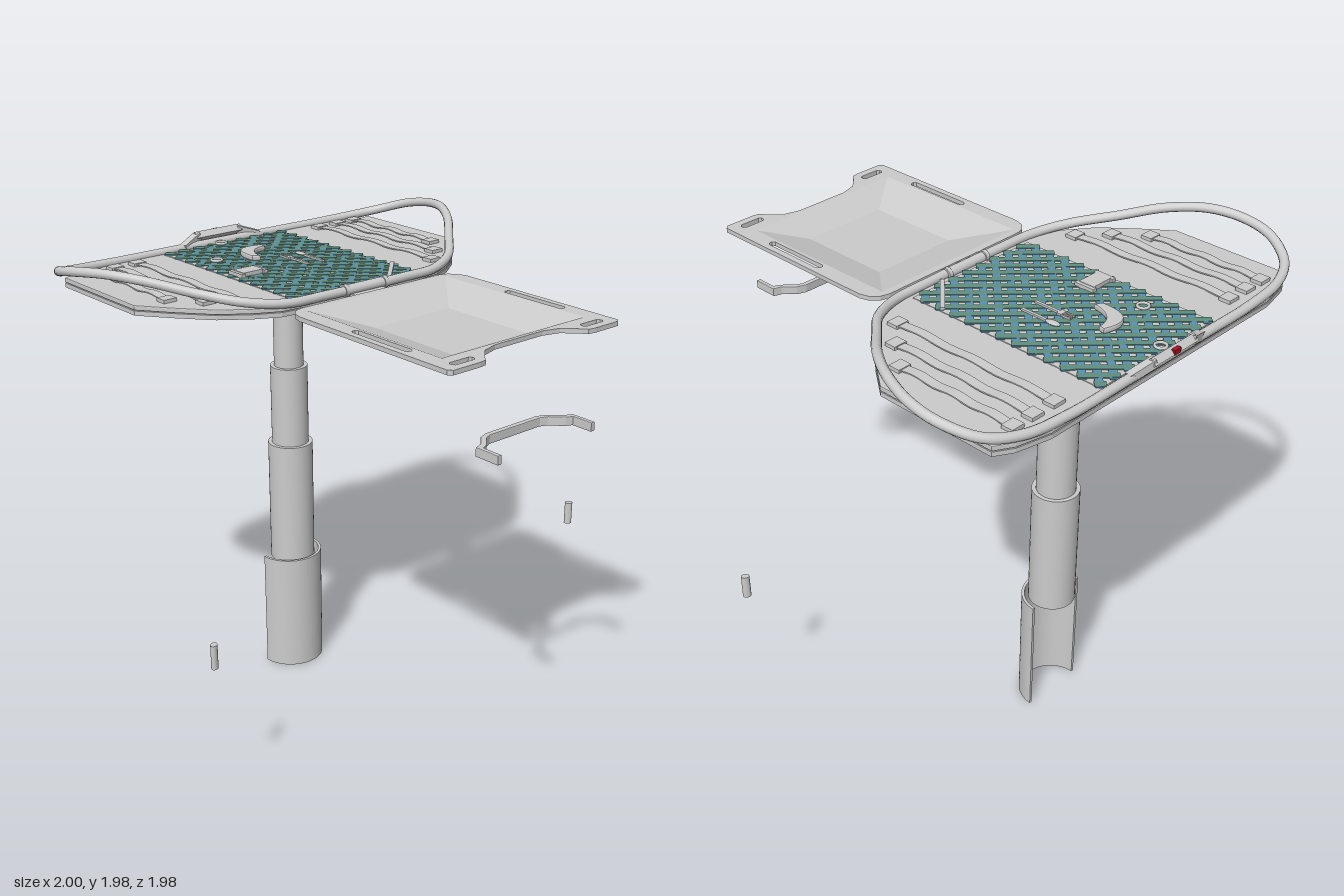
import * as THREE from 'three';

const V = (x, y, z) => new THREE.Vector3(x, y, z);
const paint = (color, extra = {}) => new THREE.MeshStandardMaterial({ color, ...extra });

export function createModel() {
  const root = new THREE.Group();
  const grey = paint(0xcccccc), blue = paint(0x5b8fb5), green = paint(0x5f9080), red = paint(0xaa1122);
  const facet = paint(0xcccccc, { flatShading: true, side: THREE.DoubleSide });

  const add = (name, geo, mat = grey, parent = root) => {
    const m = new THREE.Mesh(geo, mat);
    m.name = name;
    parent.add(m);
    return m;
  };
  const group = (name) => {
    const g = new THREE.Group();
    g.name = name;
    root.add(g);
    return g;
  };
  const box = (name, w, h, d, x, y, z, mat, parent) => {
    const m = add(name, new THREE.BoxGeometry(w, h, d), mat, parent);
    m.position.set(x, y, z);
    return m;
  };
  // Horizontal slab: the shape is drawn in (x, -z) and raised from y
  const slab = (shape, y, h, bevel = 0) => new THREE.ExtrudeGeometry(shape, {
    depth: h - 2 * bevel, bevelEnabled: bevel > 0, bevelSize: bevel, bevelThickness: bevel,
    bevelOffset: -bevel, bevelSegments: 2, curveSegments: 24,
  }).rotateX(-Math.PI / 2).translate(0, y + bevel, 0);
  const poly = (pts) => new THREE.Shape(pts.map(([x, y]) => new THREE.Vector2(x, y)));
  // Outline mirrored across z = 0
  const mirrored = (half) => poly([...half, ...half.map(([x, z]) => [x, -z]).reverse()]);
  const rectHole = (x, z, w, d) => {
    const p = new THREE.Path();
    p.absellipse(x, z, w / 2, d / 2, 0, 0.01);
    p.curves.length = 0;
    const r = Math.min(w, d) * 0.3, a = x - w / 2, b = x + w / 2, c = z - d / 2, e = z + d / 2;
    p.currentPoint.set(a + r, c);
    p.lineTo(b - r, c).lineTo(b, c + r).lineTo(b, e - r).lineTo(b - r, e);
    p.lineTo(a + r, e).lineTo(a, e - r).lineTo(a, c + r).lineTo(a + r, c);
    return p;
  };

  // Telescopic leg
  const leg = group('leg');
  [[0.063, 1.41, 1.82], [0.08, 1.06, 1.41], [0.097, 0.51, 1.06]].forEach(([r, y0, y1], i) => {
    const m = add('legSection' + (i + 1), new THREE.CylinderGeometry(r, r, y1 - y0, 40), grey, leg);
    m.position.set(-0.486, (y0 + y1) / 2, 0);
  });
  // Half-round ground sleeve, open towards -x
  const sleeve = new THREE.Shape();
  sleeve.absarc(-0.51, 0, 0.142, -Math.PI / 2, Math.PI / 2, false);
  sleeve.absarc(-0.51, 0, 0.13, Math.PI / 2, -Math.PI / 2, true);
  add('groundSleeve', slab(sleeve, 0, 0.53), grey, leg);

  // Table board in two layers
  const half = [[0.015, 0.25], [0, 0.4], [-0.05, 0.5], [-0.13, 0.61], [-0.26, 0.72],
    [-0.38, 0.81], [-0.89, 0.81], [-0.93, 0.74], [-0.96, 0.6]].map(([x, z]) => [x, z]);
  add('boardBase', slab(mirrored(half), 1.812, 0.018));
  add('boardTop', slab(mirrored(half), 1.832, 0.02, 0.004));

  // Rim tube, sweeping up into a carrying loop at both ends
  const rimHalf = [[0.01, 1.86, 0.2], [0, 1.862, 0.38], [-0.065, 1.878, 0.52], [-0.2, 1.91, 0.655],
    [-0.34, 1.948, 0.78], [-0.48, 1.962, 0.868], [-0.62, 1.95, 0.912], [-0.75, 1.925, 0.905],
    [-0.87, 1.885, 0.83], [-0.93, 1.864, 0.7], [-0.95, 1.856, 0.5], [-0.952, 1.856, 0.2]];
  const rimPts = [...rimHalf, ...rimHalf.map(([x, y, z]) => [x, y, -z]).reverse()].map((p) => V(...p));
  add('rimTube', new THREE.TubeGeometry(new THREE.CatmullRomCurve3(rimPts, true), 200, 0.019, 12, true));

  // Side grip, leaning outwards, with a red button
  const grip = group('sideGrip');
  const gripPts = [[0.19, -0.95, 1.86], [0.11, -0.975, 1.888], [-0.11, -0.975, 1.888], [-0.19, -0.95, 1.86]];
  for (let i = 0; i < 3; i++) {
    const [a, b] = [gripPts[i], gripPts[i + 1]].map(([z, x, y]) => V(x, y, z));
    const m = box('gripBar', 0.032, 0.032, a.distanceTo(b) + 0.02, 0, 0, 0, grey, grip);
    m.position.copy(a).add(b).multiplyScalar(0.5);
    m.lookAt(b);
    m.rotateZ(i === 1 ? Math.PI / 4 : 0);
  }
  box('gripButton', 0.016, 0.02, 0.035, -0.99, 1.895, 0, red, grip);

  // Three elastic straps at each end of the board
  const straps = group('straps');
  [[0.485, -0.1], [0.59, -0.2], [0.685, -0.32]].forEach(([z, x1]) => [-1, 1].forEach((s) => {
    const x0 = -0.89, n = 24, wave = [];
    for (let i = 0; i <= n; i++) {
      wave.push([x0 + 0.03 + (x1 - x0 - 0.06) * i / n, 1.857 + 0.007 * (1 - Math.cos(i / n * Math.PI * 6)) / 2]);
    }
    const ribbon = poly([...wave, ...wave.map(([x, y]) => [x, y + 0.005]).reverse()]);
    const g = new THREE.ExtrudeGeometry(ribbon, { depth: 0.04, bevelEnabled: false });
    add('strap', g.translate(0, 0, s * z - 0.02), grey, straps);
    [x0 + 0.025, x1 - 0.025].forEach((x) => box('strapBuckle', 0.05, 0.016, 0.058, x, 1.858, s * z, grey, straps));
  }));

  // Woven cloth: diagonal bands clipped to the cloth rectangle
  const cloth = group('wovenCloth');
  const X0 = -0.92, X1 = -0.025, Z = 0.313;
  box('clothBase', X1 - X0, 0.004, Z * 2, (X0 + X1) / 2, 1.853, 0, grey, cloth);
  [1, -1].forEach((s) => {
    for (let c = X0 - Z + 0.03; c < X1 + Z; c += 0.075) {
      // Centre line x = c + s * z
      const xa = Math.max(X0, c - Z), xb = Math.min(X1, c + Z);
      if (xb - xa < 0.02) continue;
      const xm = (xa + xb) / 2;
      const m = box('clothBand', (xb - xa) * Math.SQRT2, 0.004, 0.03,
        xm, s > 0 ? 1.857 : 1.8585, s * (xm - c), s > 0 ? blue : green, cloth);
      m.rotation.y = -s * Math.PI / 4;
    }
  });

  // Picnic things on the cloth
  const picnic = group('picnicThings');
  const banana = new THREE.Shape();
  banana.moveTo(-0.705, 0.04);
  banana.quadraticCurveTo(-0.765, -0.115, -0.58, -0.105);
  banana.lineTo(-0.565, -0.075);
  banana.quadraticCurveTo(-0.675, -0.06, -0.68, 0.035);
  add('banana', slab(banana, 1.858, 0.026, 0.008), grey, picnic);
  [-0.11, -0.035].forEach((z, i) => {
    box('cutleryHandle', 0.12, 0.008, 0.012, -0.44, 1.865, z, grey, picnic);
    if (i === 0) {
      const bowl = add('spoonBowl', new THREE.SphereGeometry(0.03, 16, 10), grey, picnic);
      bowl.scale.set(1.1, 0.2, 0.55);
      bowl.position.set(-0.53, 1.866, z);
    } else {
      box('forkHead', 0.02, 0.008, 0.032, -0.505, 1.866, z, grey, picnic);
      [-1, 0, 1].forEach((k) => box('forkTine', 0.045, 0.008, 0.006, -0.535, 1.866, z + k * 0.012, grey, picnic));
    }
  });
  box('snackBox', 0.07, 0.02, 0.1, -0.44, 1.866, 0.23, grey, picnic);
  [-1, 1].forEach((s) => box('snackBoxEnd', 0.09, 0.016, 0.02, -0.44, 1.866, 0.23 + s * 0.055, grey, picnic));
  [[-0.68, 0.215], [-0.9, 0.035]].forEach(([x, z]) => {
    const ring = add('ring', new THREE.TorusGeometry(0.022, 0.006, 8, 20), grey, picnic);
    ring.rotation.x = Math.PI / 2;
    ring.position.set(x, 1.864, z);
  });
  [0, 1, 2].forEach((k) => {
    const m = box('napkinFold', 0.018, 0.008, 0.12, -0.13 + k * 0.035, 1.864, -0.265 + k * 0.035, grey, picnic);
    m.rotation.y = Math.PI / 4;
  });

  // Hinge between board and tray
  const hinge = group('hinge');
  box('hingePlate', 0.07, 0.012, 0.16, 0.045, 1.842, 0, grey, hinge);
  const pin = add('hingePin', new THREE.CylinderGeometry(0.021, 0.021, 0.18, 20), grey, hinge);
  pin.rotation.x = Math.PI / 2;
  pin.position.set(0.008, 1.86, 0);
  [-1, 1].forEach((s) => {
    const collar = add('hingeCollar', new THREE.CylinderGeometry(0.025, 0.025, 0.018, 20), grey, hinge);
    collar.rotation.x = Math.PI / 2;
    collar.position.set(0.008, 1.86, s * 0.1);
  });

  // Serving tray: flat rim with grip slots and a notched end
  const tray = group('servingTray');
  const rim = mirrored([[0.84, 0.12], [0.86, 0.19], [0.905, 0.235], [0.935, 0.26], [0.94, 0.29], [0.94, 0.415],
    [0.925, 0.43], [0.14, 0.43], [0.1, 0.418], [0.07, 0.388], [0.06, 0.35]]);
  [-1, 1].forEach((s) => {
    rim.holes.push(rectHole(0.55, s * 0.388, 0.3, 0.03), rectHole(0.89, s * 0.327, 0.03, 0.105));
  });
  const ring4 = (x0, x1, z, y) => [[x0, y, -z], [x0, y, z], [x1, y, z], [x1, y, -z]];
  const A = [0.09, 0.825, 0.36], B = [0.29, 0.7, 0.19], C = [0.495, 0.495, 0];
  rim.holes.push(new THREE.Path(ring4(...A, 0).map(([x, , z]) => new THREE.Vector2(x, z))));
  add('trayRim', slab(rim, 1.835, 0.018), grey, tray);
  // Sunken dish lofted from rectangular rings
  const rings = [ring4(...C, 1.797), ring4(...B, 1.797), ring4(...A, 1.853),
    ring4(...A, 1.835), ring4(...B, 1.781), ring4(...C, 1.781)];
  const pos = [];
  for (let r = 0; r < rings.length - 1; r++) {
    for (let i = 0; i < 4; i++) {
      const j = (i + 1) % 4, a = rings[r][i], b = rings[r][j], c = rings[r + 1][j], d = rings[r + 1][i];
      pos.push(...a, ...d, ...c, ...a, ...c, ...b);
    }
  }
  const dish = new THREE.BufferGeometry();
  dish.setAttribute('position', new THREE.Float32BufferAttribute(pos, 3));
  dish.computeVertexNormals();
  add('trayDish', dish, facet, tray);

  // Loose tray handle: a bent bar with outward ends
  const bar = mirrored([[0.82, 0.13], [0.835, 0.17], [0.88, 0.215], [0.892, 0.25], [1, 0.25], [1, 0.232],
    [0.912, 0.232], [0.9, 0.205], [0.855, 0.16], [0.842, 0.13]].slice(0, 10));
  add('trayHandle', slab(bar, 1.485, 0.036, 0.003));

  // Two loose pegs
  [-1, 1].forEach((s) => {
    const peg = add('peg', new THREE.CylinderGeometry(0.013, 0.013, 0.1, 16));
    peg.scale.z = 1.3;
    peg.rotation.y = s * 0.6;
    peg.position.set(0.287, 0.69, s * 0.972);
  });
  return root;
}
